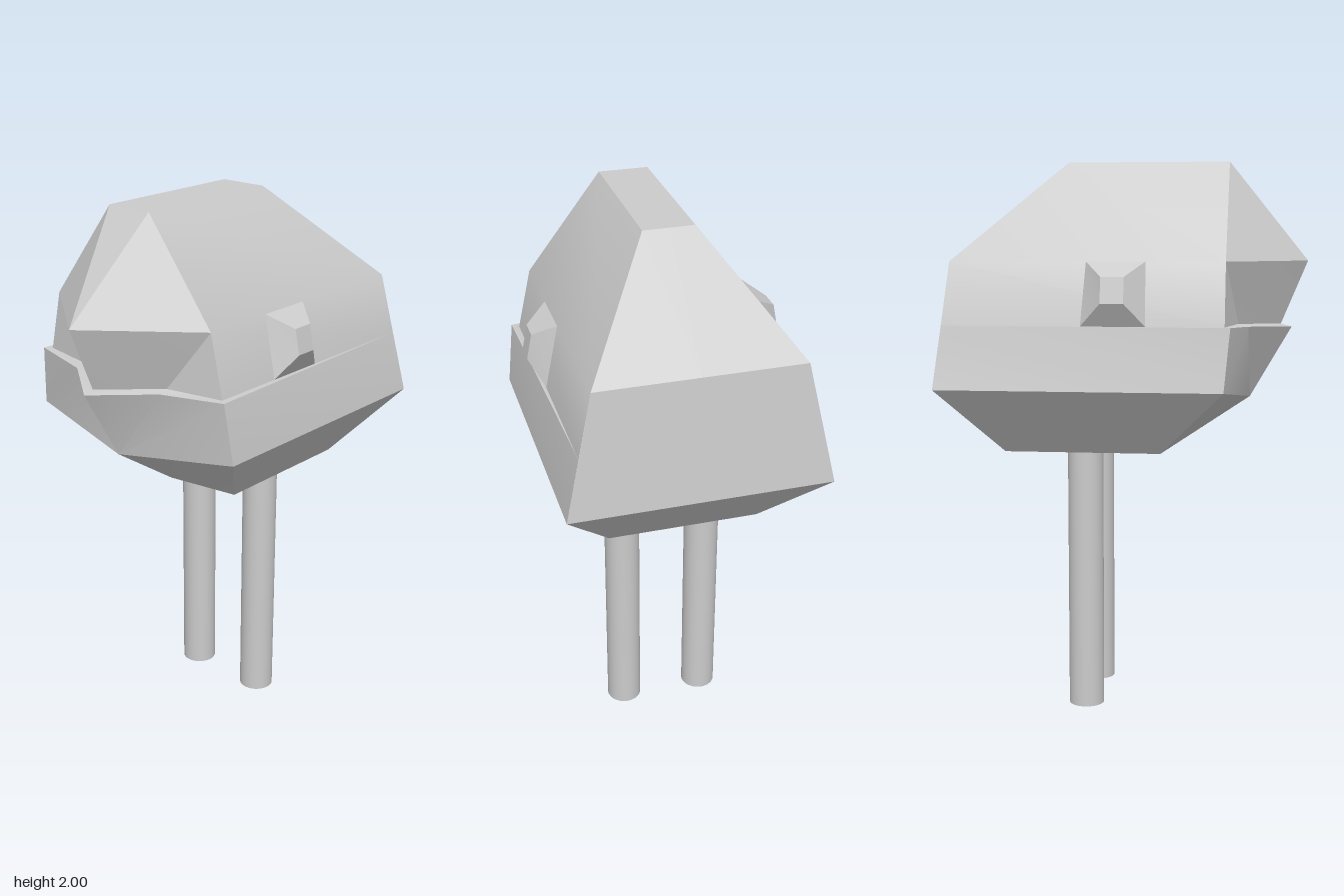
import * as THREE from 'three';
import { toCreasedNormals } from 'three/addons/utils/BufferGeometryUtils.js';

const material = new THREE.MeshStandardMaterial({ color: 0xcccccc });

// Mesh from polygons, each listed counter-clockwise from outside and cut into a fan;
// sides lists the x signs to build, -1 being the mirrored copy
function facets(name, polygons, sides = [1, -1]) {
  const positions = [];
  for (const s of sides) {
    for (const polygon of polygons) {
      const loop = polygon.map(([x, y, z]) => [s * x, y, z]);
      if (s < 0) loop.reverse();
      for (let i = 1; i < loop.length - 1; i++) positions.push(...loop[0], ...loop[i], ...loop[i + 1]);
    }
  }
  const geometry = new THREE.BufferGeometry();
  geometry.setAttribute('position', new THREE.Float32BufferAttribute(positions, 3));
  const mesh = new THREE.Mesh(toCreasedNormals(geometry, 0.55), material);
  mesh.name = name;
  return mesh;
}

const centre = ([, y, z]) => [0, y, z];

export function createModel() {
  const model = new THREE.Group();
  model.name = 'facetedHeadOnLegs';

  // Shared corners of the +x half
  const roofFront = [0.09, 2, 0.36], roofBack = [0.09, 2, -0.22];
  const browFront = [0.36, 1.65, 0.36], browBack = [0.36, 1.65, -0.6];
  const sideFront = [0.41, 1.43, 0.36], sideBack = [0.41, 1.43, -0.622];
  const beakTip = [0, 1.65, 0.645], beakBase = [0, 1.42, 0.55], cheek = [0.2, 1.43, 0.4];
  const rimFront = [0.435, 1.43, 0.38], rimCheek = [0.2, 1.42, 0.435], lip = [0, 1.41, 0.59];
  const waistFront = [0.46, 1.21, 0.36], waistBack = [0.46, 1.21, -0.645], chin = [0, 1.15, 0.44];
  const floorFront = [0.27, 0.97, 0.13], floorBack = [0.27, 0.97, -0.43], floorTip = [0, 0.97, 0.17];

  model.add(
    // Roof, sides and back
    facets('helmet', [
      [centre(roofFront), roofFront, roofBack, centre(roofBack)],
      [roofFront, browFront, browBack, roofBack],
      [browFront, sideFront, sideBack, browBack],
      [roofBack, browBack, centre(browBack), centre(roofBack)],
      [browBack, waistBack, centre(waistBack), centre(browBack)],
    ]),
    // Pointed brow with its underside and cheeks
    facets('beak', [
      [centre(roofFront), beakTip, roofFront],
      [roofFront, beakTip, browFront],
      [beakTip, beakBase, cheek, browFront],
      [browFront, cheek, sideFront],
    ]),
    // Band with a narrow ledge and a pointed lip
    facets('jawBand', [
      [sideFront, rimFront, sideBack],
      [sideFront, cheek, rimCheek, rimFront],
      [cheek, beakBase, lip, rimCheek],
      [rimFront, waistFront, waistBack, sideBack],
      [rimFront, rimCheek, chin, waistFront],
      [rimCheek, lip, chin],
    ]),
    // Tapered underside
    facets('underside', [
      [waistFront, floorFront, floorBack, waistBack],
      [waistFront, chin, floorTip, floorFront],
      [waistBack, floorBack, centre(floorBack), centre(waistBack)],
      [floorFront, floorTip, centre(floorBack), floorBack],
    ]),
  );

  // Blunt pyramid on each side
  const base = [[0.36, 1.65, 0.085], [0.41, 1.43, 0.09], [0.41, 1.43, -0.135], [0.36, 1.65, -0.12]];
  const cap = [[0.44, 1.6, 0.02], [0.458, 1.51, 0.02], [0.458, 1.51, -0.06], [0.44, 1.6, -0.06]];
  const earFaces = base.map((corner, i) => [corner, base[(i + 1) % 4], cap[(i + 1) % 4], cap[i]]);
  earFaces.push(cap);

  for (const [label, s] of [['left', 1], ['right', -1]]) {
    model.add(facets(label + 'Ear', earFaces, [s]));

    // Round leg
    const leg = new THREE.Mesh(new THREE.CylinderGeometry(0.065, 0.065, 0.98, 32), material);
    leg.name = label + 'Leg';
    leg.position.set(s * 0.155, 0.49, -0.155);
    model.add(leg);
  }
  return model;
}
